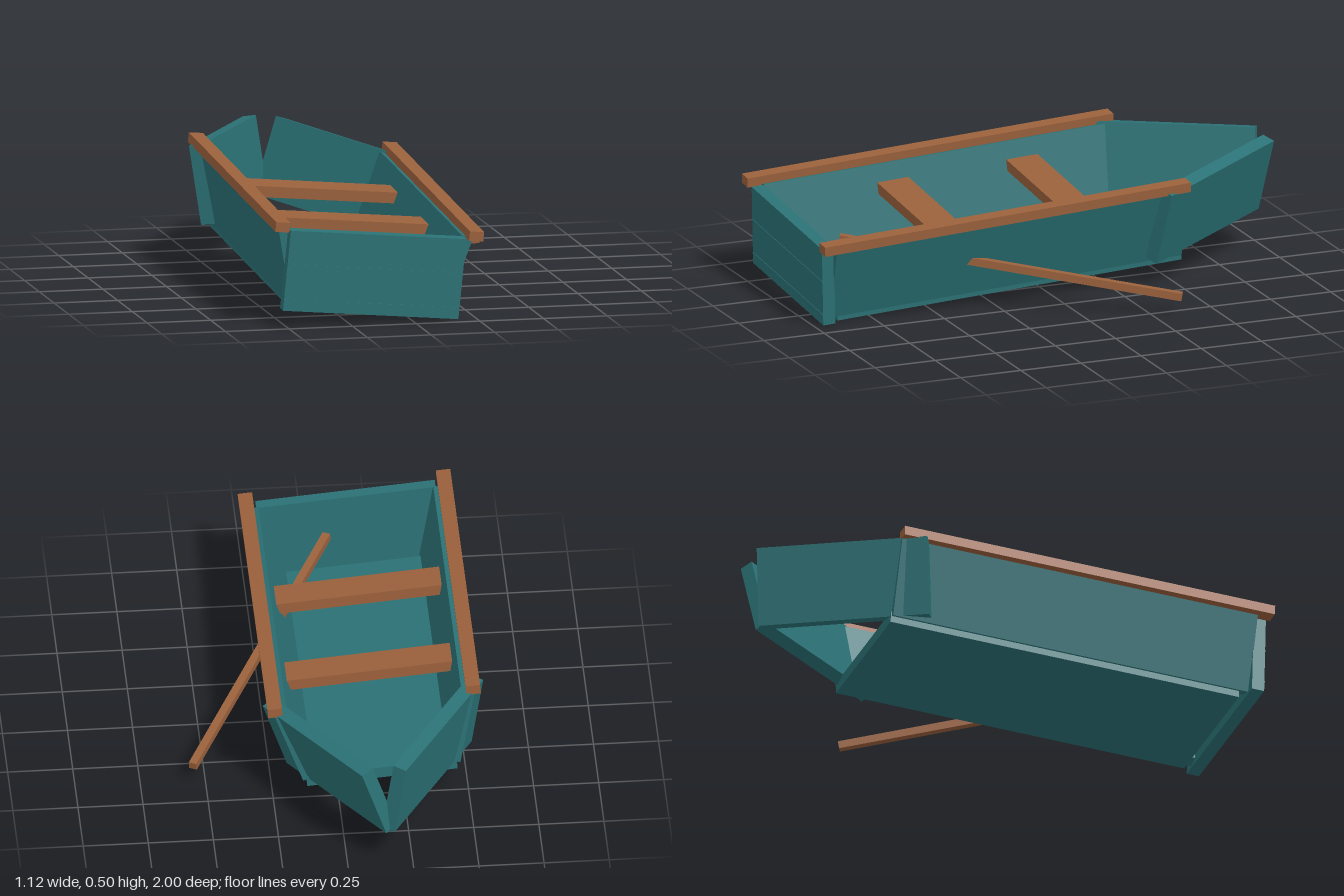
import * as THREE from 'three';

export function createModel() {
  const model = new THREE.Group();
  model.name = 'rowingBoat';
  const teal = new THREE.MeshStandardMaterial({ color: 0x2b7276 });
  teal.name = 'tealPaint';
  const brown = new THREE.MeshStandardMaterial({ color: 0x9b613c });
  brown.name = 'brownWood';
  const rad = THREE.MathUtils.degToRad;

  const plank = (parent, name, material, size, position, yaw = 0, roll = 0) => {
    const mesh = new THREE.Mesh(new THREE.BoxGeometry(...size), material);
    mesh.name = name;
    mesh.position.set(...position);
    mesh.rotation.set(0, rad(yaw), rad(roll));
    parent.add(mesh);
    return mesh;
  };

  // Hull sits tilted: bow raised, leaning to one side
  const hull = new THREE.Group();
  hull.name = 'hull';
  hull.position.set(-0.168, 0.087, 0.175);
  hull.rotation.set(rad(3.2), 0, rad(-5), 'ZYX');
  model.add(hull);

  plank(hull, 'floor', teal, [0.58, 0.045, 1.43], [0, 0, 0]);
  plank(hull, 'transom', teal, [0.692, 0.315, 0.05], [0, 0.15, 0.772]);

  // Narrow seams across the transom
  for (const y of [0.035, 0.172]) {
    plank(hull, 'transomSeam', teal, [0.69, 0.007, 0.004], [0, y, 0.797]);
  }

  // Flared sides, rails and converging bow planks, mirrored
  for (const [side, s] of [['left', 1], ['right', -1]]) {
    plank(hull, side + 'Side', teal, [0.048, 0.31, 1.46], [s * 0.32, 0.157, 0.02], 0, -15 * s);
    plank(hull, side + 'Rail', brown, [0.056, 0.038, 1.52], [s * 0.382, 0.322, 0.05]);
    plank(hull, side + 'BowPlank', teal, [0.054, 0.31, 0.662], [s * 0.198, 0.164, -0.875], 31 * s, -15 * s);
  }

  // Bench seats
  plank(hull, 'frontSeat', brown, [0.648, 0.043, 0.13], [0, 0.224, 0.223]);
  plank(hull, 'backSeat', brown, [0.648, 0.043, 0.13], [0, 0.224, -0.313]);

  // Oar running out through the left side
  const inner = new THREE.Vector3(-0.06, 0.272, 0.805);
  const outer = new THREE.Vector3(0.548, 0.069, -0.362);
  const middle = inner.clone().add(outer).multiplyScalar(0.5);
  const oar = plank(model, 'oar', brown, [0.031, 0.03, inner.distanceTo(outer)], middle.toArray());
  oar.lookAt(outer);

  return model;
}
